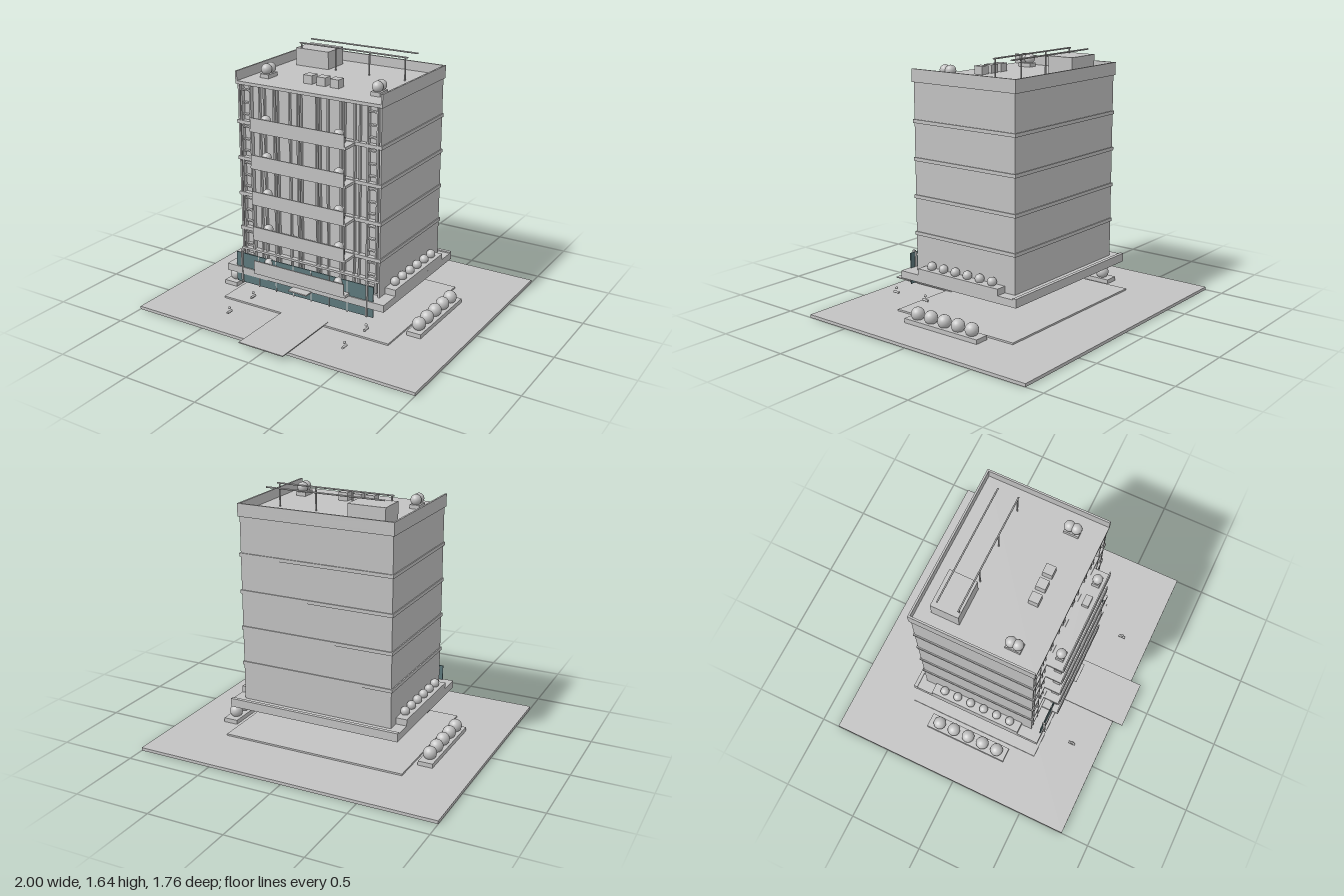
import * as THREE from 'three';

export function createModel() {
  const model = new THREE.Group();
  model.name = 'apartmentBuilding';
  const grey = new THREE.MeshStandardMaterial({ color: 0xc2c2c2 });
  grey.name = 'pale grey';
  const teal = new THREE.MeshStandardMaterial({ color: 0x5d787c });
  teal.name = 'teal glass';

  function group(name) {
    const g = new THREE.Group();
    g.name = name;
    model.add(g);
    return g;
  }
  // Box given by its limits on each axis
  function box(parent, name, [x0, x1], [y0, y1], [z0, z1], mat = grey) {
    const m = new THREE.Mesh(new THREE.BoxGeometry(x1 - x0, y1 - y0, z1 - z0), mat);
    m.position.set((x0 + x1) / 2, (y0 + y1) / 2, (z0 + z1) / 2);
    m.name = name;
    parent.add(m);
    return m;
  }
  function ball(parent, name, r, x, y, z) {
    const m = new THREE.Mesh(new THREE.SphereGeometry(r, 20, 14), grey);
    m.position.set(x, y, z);
    m.name = name;
    parent.add(m);
  }
  function rod(parent, name, r, length, x, y, z, axis) {
    const m = new THREE.Mesh(new THREE.CylinderGeometry(r, r, length, 10), grey);
    if (axis === 'x') m.rotation.z = Math.PI / 2;
    if (axis === 'z') m.rotation.x = Math.PI / 2;
    m.position.set(x, y, z);
    m.name = name;
    parent.add(m);
  }

  // Ground, paving and entrance path
  const site = group('site');
  box(site, 'ground', [-1, 1], [0, 0.02], [-0.88, 0.81]);
  box(site, 'paving', [-0.613, 0.613], [0.02, 0.031], [-0.493, 0.425]);
  box(site, 'path', [-0.16, 0.16], [0.028, 0.034], [0.38, 0.88]);

  // Ground planters and small lamps on both sides
  for (const s of [-1, 1]) {
    const x = s * 0.692;
    box(site, 'groundPlanter', [x - 0.048, x + 0.048], [0.02, 0.048], [-0.325, 0.25]);
    for (let i = 0; i < 5; i++) ball(site, 'shrub', 0.043, x, 0.08, 0.18 - i * 0.1075);
    for (const z of [0.62, 0.365]) {
      rod(site, 'lampBase', 0.008, 0.045, s * 0.425, 0.052, z, 'z');
      ball(site, 'lampHead', 0.009, s * 0.425, 0.08, z);
    }
  }

  // Podium with raised rear edge, side planters and canopy
  const podium = group('podium');
  box(podium, 'podiumBase', [-0.577, 0.577], [0.23, 0.277], [-0.487, 0.424]);
  box(podium, 'rearLip', [-0.577, 0.577], [0.277, 0.285], [-0.487, -0.463]);
  for (const s of [-1, 1]) {
    const x = s * 0.54;
    box(podium, 'sidePlanter', [x - 0.037, x + 0.037], [0.277, 0.318], [-0.35, 0.28]);
    for (let i = 0; i < 6; i++) ball(podium, 'shrub', 0.029, s * 0.533, 0.337, 0.204 - i * 0.0955);
  }
  box(podium, 'canopy', [-0.07, 0.066], [0.228, 0.236], [0.41, 0.482]);

  // Shopfront glass, split by narrow mullions
  const shop = group('shopfront');
  const edges = [-0.51];
  for (let i = 0; i < 8; i++) edges.push(-0.465 + i * 0.131);
  edges.push(0.505);
  for (let i = 0; i < edges.length - 1; i++) {
    box(shop, 'shopGlass', [edges[i] + 0.003, edges[i + 1] - 0.003], [0.172, 0.375], [0.411, 0.417], teal);
    if (i > 0) box(shop, 'shopMullion', [edges[i] - 0.003, edges[i] + 0.003], [0.165, 0.375], [0.41, 0.419]);
  }
  for (const s of [-1, 1]) {
    box(shop, 'frontPost', [s * 0.46 - 0.005, s * 0.46 + 0.005], [0.172, 0.385], [0.408, 0.43]);
  }

  // Tower: core, side walls and floor ledges
  const tower = group('tower');
  const floors = [0.278, 0.51, 0.745, 0.981, 1.217];
  box(tower, 'core', [-0.505, 0.505], [0.277, 1.48], [-0.425, 0.325]);
  for (const s of [-1, 1]) {
    box(tower, 'sideWall', [s * 0.5 - 0.006, s * 0.5 + 0.006], [0.277, 1.48], [-0.425, 0.35]);
  }
  for (const y of floors.slice(1)) {
    box(tower, 'floorLedge', [-0.513, 0.513], [y, y + 0.022], [-0.432, 0.357]);
  }
  box(tower, 'firstFloorEdge', [-0.506, 0.506], [0.373, 0.387], [0.32, 0.357]);

  // Facade: window posts and end windows with crossbars
  const facade = group('facade');
  for (const x of [0.078, 0.055, 0.135, 0.225, 0.25, 0.32, 0.355]) {
    for (const s of [-1, 1]) {
      box(facade, 'windowPost', [s * x - 0.005, s * x + 0.005], [0.3, 1.47], [0.325, 0.343]);
    }
  }
  for (const s of [-1, 1]) {
    for (const x of [0.415, 0.48]) {
      box(facade, 'endWindowPost', [s * x - 0.005, s * x + 0.005], [0.3, 1.47], [0.325, 0.353]);
    }
    for (const y of floors) {
      for (const dy of [0.06, 0.135, 0.215]) {
        box(facade, 'endWindowBar', [s * 0.4475 - 0.035, s * 0.4475 + 0.035],
          [y + dy - 0.004, y + dy + 0.004], [0.325, 0.347]);
      }
    }
  }

  // Balconies, each with a front panel, two potted shrubs and a table
  const balconies = group('balconies');
  for (const y of floors) {
    box(balconies, 'balconySlab', [-0.34, 0.335], [y, y + 0.018], [0.325, 0.465]);
    box(balconies, 'balconyPanel', [-0.335, 0.325], [y + 0.01, y + 0.09], [0.459, 0.467]);
    for (const x of [-0.257, 0.257]) {
      box(balconies, 'pot', [x - 0.031, x + 0.031], [y + 0.018, y + 0.052], [0.388, 0.436]);
      ball(balconies, 'shrub', 0.031, x, y + 0.07, 0.412);
    }
    box(balconies, 'table', [0.08, 0.15], [y + 0.018, y + 0.05], [0.388, 0.43]);
  }

  // Roof slab, parapet on three sides and roof equipment
  const roof = group('roof');
  box(roof, 'roofSlab', [-0.515, 0.515], [1.467, 1.487], [-0.435, 0.36]);
  for (const s of [-1, 1]) {
    box(roof, 'sideParapet', [s * 0.509 - 0.006, s * 0.509 + 0.006], [1.467, 1.548], [-0.435, 0.36]);
  }
  box(roof, 'rearParapet', [-0.515, 0.515], [1.467, 1.548], [-0.435, -0.423]);
  box(roof, 'plantRoom', [-0.416, -0.173], [1.487, 1.6], [-0.338, -0.16]);
  for (const z of [-0.304, -0.172]) rod(roof, 'roofRail', 0.005, 0.78, -0.003, 1.633, z, 'x');
  for (const x of [-0.38, -0.125, 0.12, 0.37]) {
    rod(roof, 'railPost', 0.005, 0.146, x, 1.56, -0.172, 'y');
  }
  for (const x of [-0.097, -0.002, 0.092]) {
    box(roof, 'airUnit', [x - 0.031, x + 0.031], [1.487, 1.54], [0.133, 0.195]);
  }
  for (const x of [-0.395, 0.39]) {
    box(roof, 'roofPlanter', [x - 0.032, x + 0.032], [1.487, 1.512], [0.13, 0.225]);
    for (const z of [0.155, 0.198]) ball(roof, 'roofShrub', 0.034, x, 1.54, z);
  }
  return model;
}
